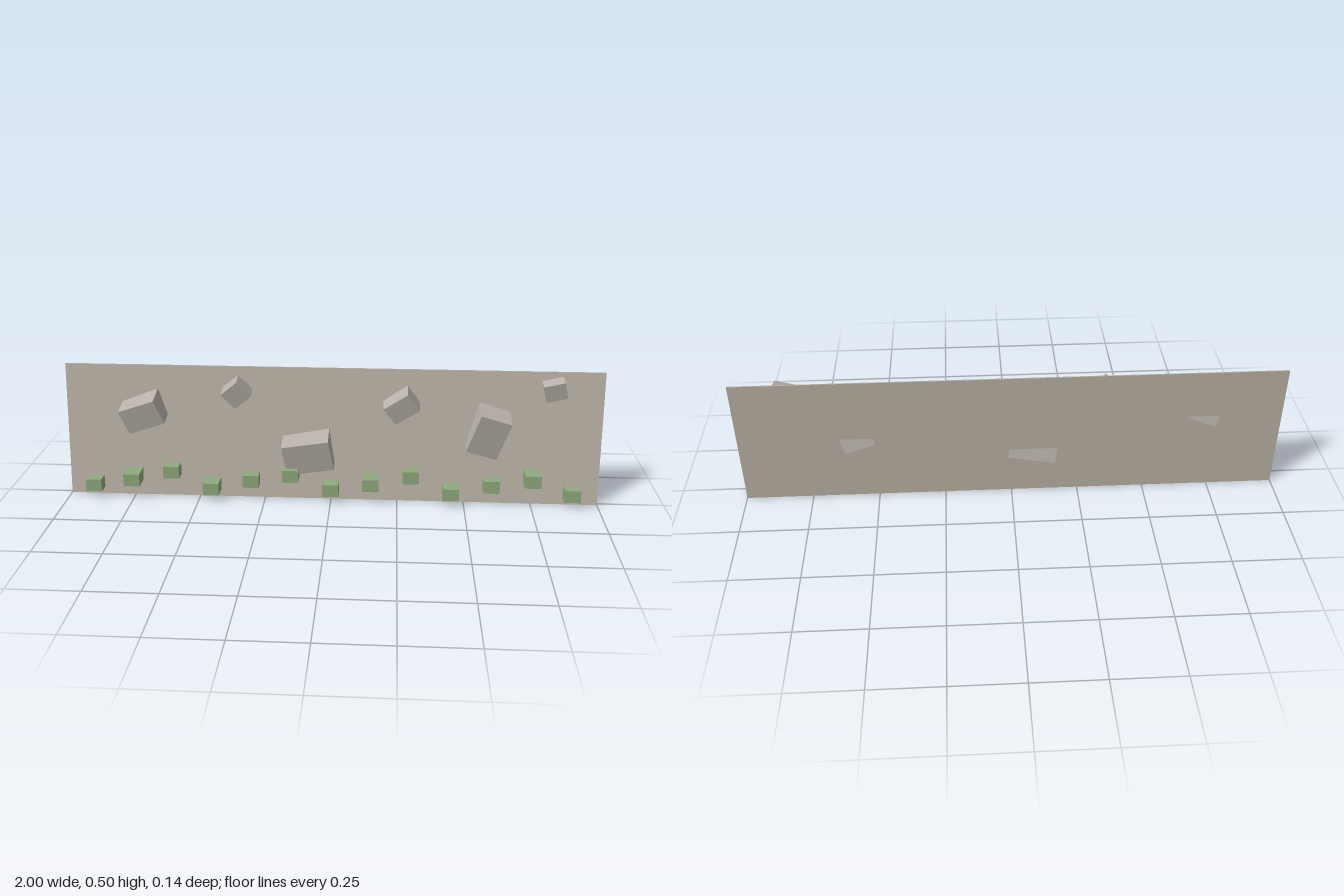
import * as THREE from 'three';

export function createModel() {
  const group = new THREE.Group();
  const wallMat = new THREE.MeshStandardMaterial({ name: 'wall stone', color: 0xb9b1a5 });
  const rockMat = new THREE.MeshStandardMaterial({ name: 'rock grey', color: 0xb7b1a9 });
  const mossMat = new THREE.MeshStandardMaterial({ name: 'moss green', color: 0x90aa7e });

  const addBox = (name, mat, size, pos, rot = [0, 0, 0]) => {
    const mesh = new THREE.Mesh(new THREE.BoxGeometry(...size), mat);
    mesh.name = name;
    mesh.position.set(...pos);
    mesh.rotation.set(...rot);
    group.add(mesh);
  };

  // Cliff wall: upright back, front sloping to a thin top; profile in (z, y)
  const profile = new THREE.Shape([
    [-0.057, 0], [0.012, 0], [-0.052, 0.5], [-0.057, 0.5],
  ].map(([z, y]) => new THREE.Vector2(-z, y)));
  const wallGeo = new THREE.ExtrudeGeometry(profile, { depth: 2, bevelEnabled: false });
  wallGeo.translate(0, 0, -1).rotateY(Math.PI / 2);
  const wall = new THREE.Mesh(wallGeo, wallMat);
  wall.name = 'cliffWall';
  group.add(wall);

  // Rocks bedded in the slope, all leaning forward: [size, position, roll]
  const rocks = [
    [[0.145, 0.10, 0.094], [-0.703, 0.332, -0.005], 0.35],
    [[0.082, 0.077, 0.058], [-0.352, 0.412, -0.016], 0.72],
    [[0.177, 0.123, 0.113], [-0.085, 0.19, 0.001], 0.17],
    [[0.108, 0.08, 0.07], [0.26, 0.374, -0.011], 0.62],
    [[0.118, 0.16, 0.10], [0.58, 0.283, -0.001], -0.3],
    [[0.078, 0.066, 0.048], [0.815, 0.443, -0.019], 0.25],
  ];
  rocks.forEach(([size, pos, roll], i) =>
    addBox(`rock${i + 1}`, rockMat, size, pos, [0.2, 0, roll]));

  // Moss clumps along the foot, stepping up in threes, every second one deeper
  for (let i = 0; i < 13; i++) {
    addBox(`mossClump${i + 1}`, mossMat,
      [0.06, 0.048, i % 2 ? 0.074 : 0.048],
      [-0.9 + 0.15 * i, 0.051 + 0.03 * (i % 3), 0.033]);
  }
  return group;
}
